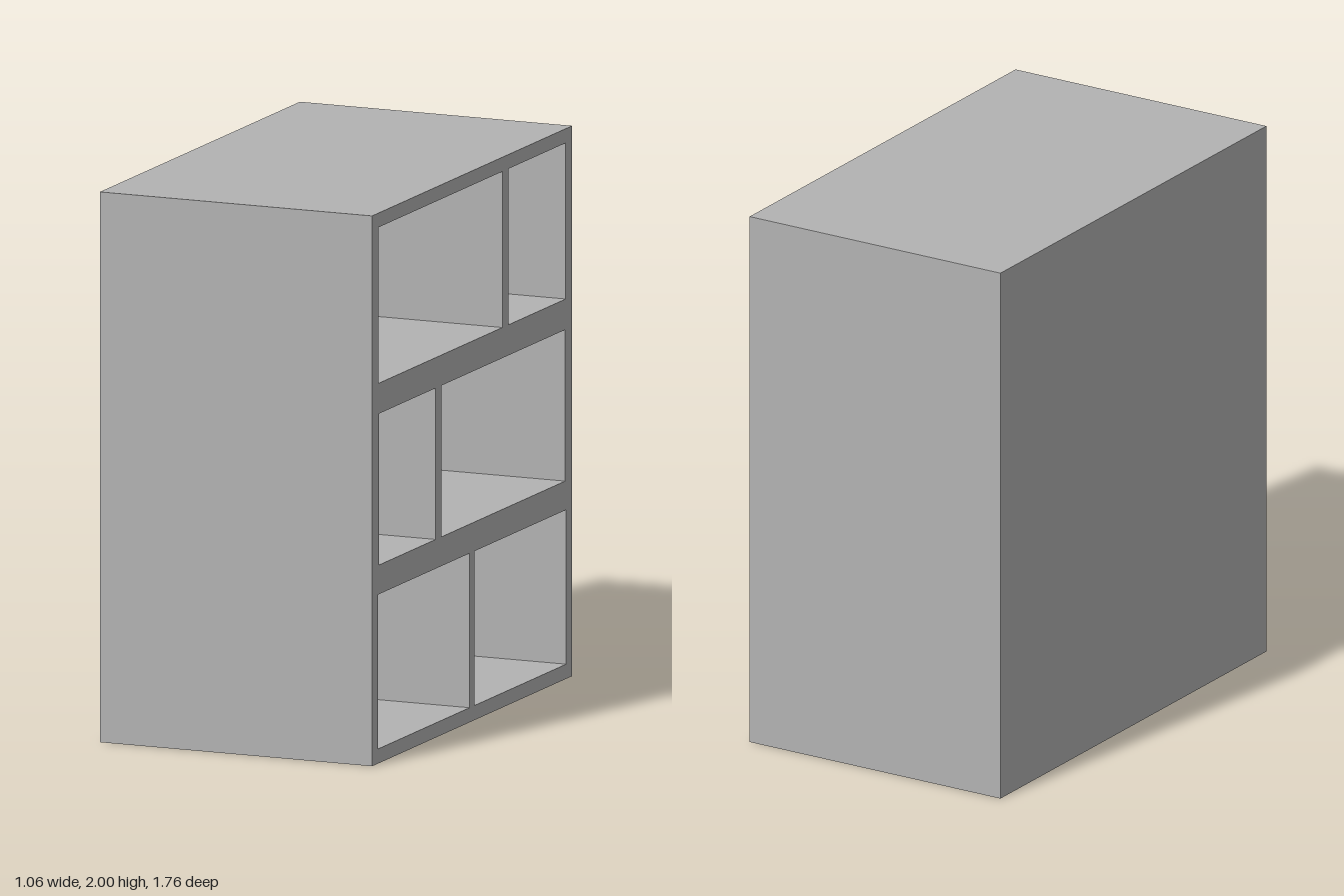
import * as THREE from 'three';

const HALF_X = 0.53, HALF_Z = 0.88, HEIGHT = 2, BACK = 0.05;

// Compartment rows: bottom, top, outer half width, and the divider's two z faces
const ROWS = [
  { y0: 0.053, y1: 0.614, half: 0.828, divider: [0.022, -0.023] },
  { y0: 0.72, y1: 1.27, half: 0.819, divider: [0.32, 0.268] },
  { y0: 1.381, y1: 1.948, half: 0.824, divider: [-0.267, -0.319] },
];

// Adds a rectangle to a path; the path's horizontal axis is -z
function rect(path, zA, zB, y0, y1) {
  path.moveTo(-zA, y0);
  path.lineTo(-zB, y0);
  path.lineTo(-zB, y1);
  path.lineTo(-zA, y1);
  path.closePath();
  return path;
}

export function createModel() {
  const group = new THREE.Group();
  group.name = 'shelfUnit';
  const grey = new THREE.MeshStandardMaterial({ color: 0xb2b2b2 });
  grey.name = 'grey';

  // Outer case, shelves and dividers, open towards +x
  const outline = rect(new THREE.Shape(), HALF_Z, -HALF_Z, 0, HEIGHT);
  for (const { y0, y1, half, divider } of ROWS) {
    outline.holes.push(rect(new THREE.Path(), half, divider[0], y0, y1));
    outline.holes.push(rect(new THREE.Path(), divider[1], -half, y0, y1));
  }
  const frameGeometry = new THREE.ExtrudeGeometry(outline, {
    depth: 2 * HALF_X - BACK,
    bevelEnabled: false,
  });
  frameGeometry.rotateY(Math.PI / 2);
  const frame = new THREE.Mesh(frameGeometry, grey);
  frame.name = 'caseAndShelves';
  frame.position.x = -HALF_X + BACK;
  group.add(frame);

  // Closed panel behind the compartments
  const back = new THREE.Mesh(new THREE.BoxGeometry(BACK, HEIGHT, 2 * HALF_Z), grey);
  back.name = 'backPanel';
  back.position.set(-HALF_X + BACK / 2, HEIGHT / 2, 0);
  group.add(back);

  return group;
}
